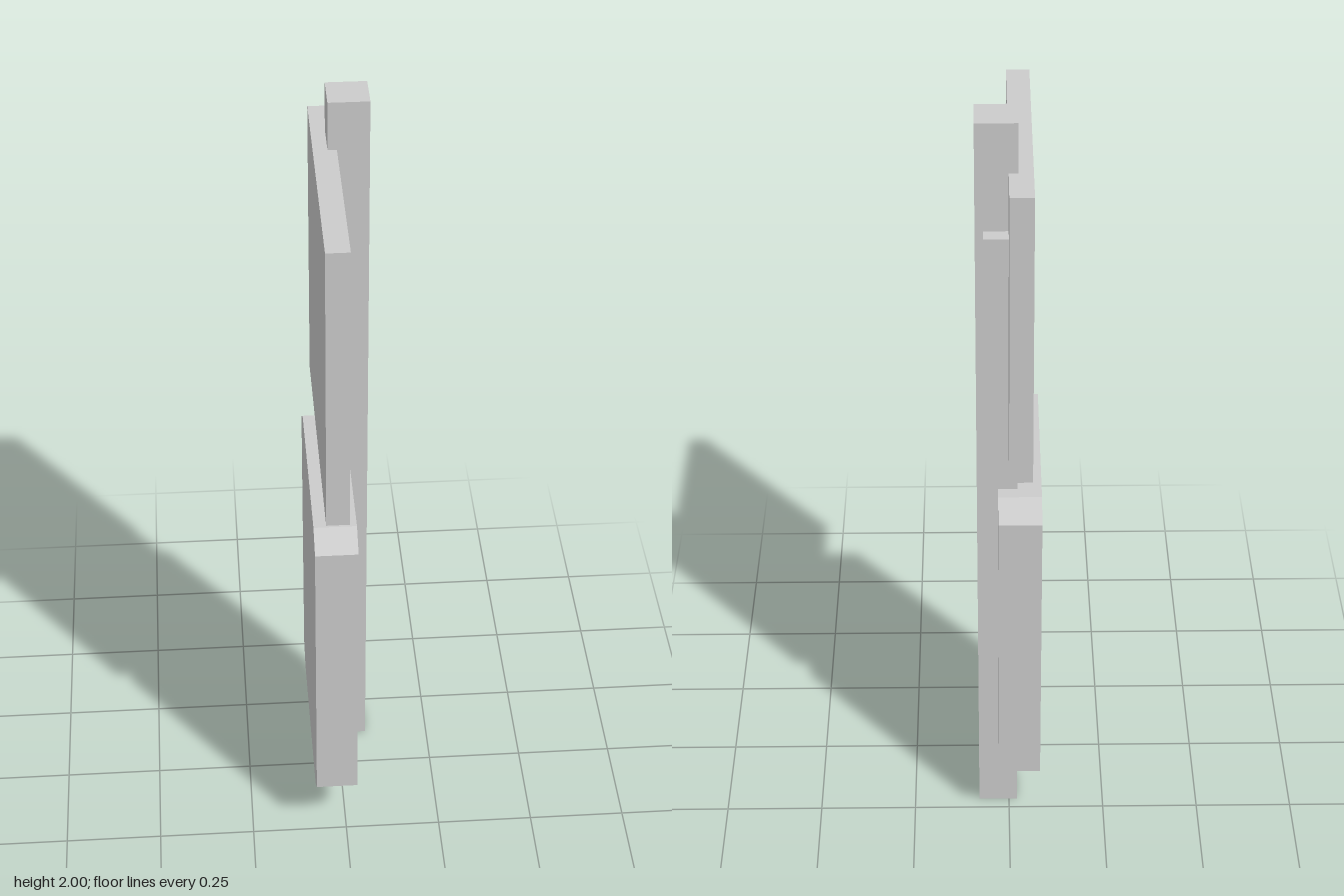
import * as THREE from 'three';

const material = new THREE.MeshStandardMaterial({ color: 0xcccccc, flatShading: true });

// Box given by its lower and upper corners
function box(name, [x0, y0, z0], [x1, y1, z1]) {
  const mesh = new THREE.Mesh(new THREE.BoxGeometry(x1 - x0, y1 - y0, z1 - z0), material);
  mesh.position.set((x0 + x1) / 2, (y0 + y1) / 2, (z0 + z1) / 2);
  mesh.name = name;
  return mesh;
}

// Upright slab across x with its four corners cut off in the z-y plane
function chamferedPanel(name, [x0, y0, z0], [x1, y1, z1], cutZ, cutY) {
  const w = (z1 - z0) / 2, h = (y1 - y0) / 2;
  const outline = [
    [w - cutZ, -h], [w, -h + cutY], [w, h - cutY], [w - cutZ, h],
    [-w + cutZ, h], [-w, h - cutY], [-w, -h + cutY], [-w + cutZ, -h],
  ].map(([z, y]) => new THREE.Vector2(z, y));
  const geometry = new THREE.ExtrudeGeometry(new THREE.Shape(outline), { depth: x1 - x0, bevelEnabled: false });
  geometry.translate(0, 0, -(x1 - x0) / 2);
  geometry.rotateY(Math.PI / 2);
  const mesh = new THREE.Mesh(geometry, material);
  mesh.position.set((x0 + x1) / 2, (y0 + y1) / 2, (z0 + z1) / 2);
  mesh.name = name;
  return mesh;
}

export function createModel() {
  const model = new THREE.Group();
  model.name = 'signPost';
  model.add(
    // Square post, full height
    box('post', [-0.021, 0, -0.217], [0.079, 2, -0.118]),
    // Thin square-cornered upper board
    box('upperPanel', [-0.056, 1.11, -0.333], [0.001, 1.875, 0.332]),
    // Thicker lower board with cut corners
    chamferedPanel('lowerPanel', [-0.08, 0.136, -0.31], [0.027, 1.011, 0.273], 0.058, 0.043),
    // Small block on the back of the post
    box('backBlock', [-0.003, 1.63, -0.255], [0.06, 1.728, -0.2]),
  );
  return model;
}
